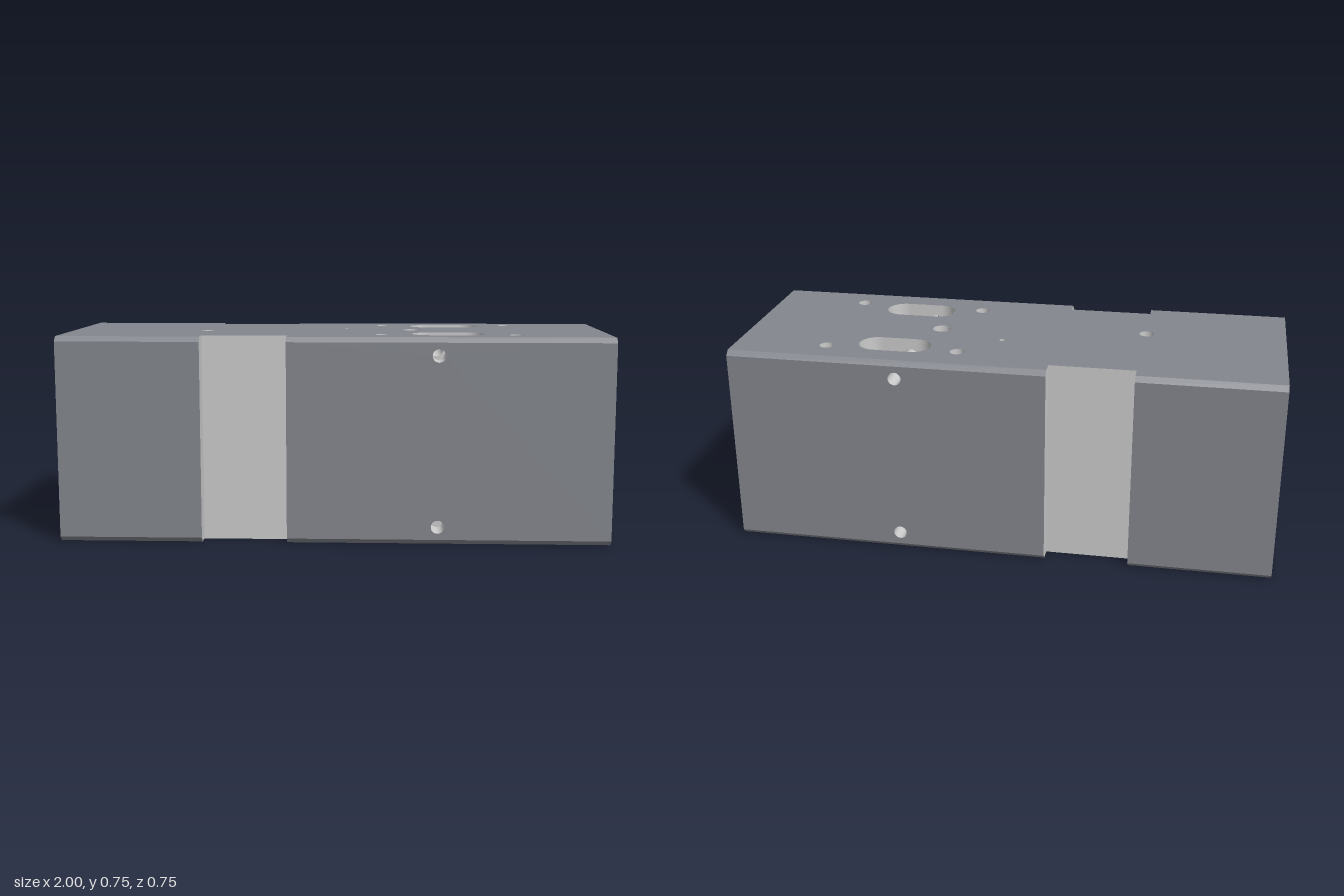
import * as THREE from 'three';

const PI = Math.PI, H = 0.375, C = 0.018, B = H - C;     // half size, chamfer
const G0 = -0.48, G1 = -0.17, GZ = 0.31;                 // side groove
const R = 0.235;                                         // main bore radius
const WIN = [0.1, 0.91];                                 // bore stretch that the windows break into

const bodyMat = new THREE.MeshStandardMaterial({ color: 0x83868d, side: THREE.DoubleSide });
const cutMat = new THREE.MeshStandardMaterial({ color: 0xcccccc, side: THREE.DoubleSide });

// vertical through openings: centre x and z, radius, half length of the straight part
const openings = [
  { x: 0.415, z: 0.2, r: 0.0675, s: 0.0675 },
  { x: 0.175, z: 0.235, r: 0.027, s: 0 },
  { x: 0.66, z: 0.25, r: 0.027, s: 0 },
];
// blind ports on top: x, z, radius, inner radius
const ports = [[0.285, 0, 0.035, 0.015], [-0.485, 0.075, 0.028, 0.012], [0.035, -0.085, 0.012, 0]];
// blind holes in the -x end: z, y, radius, depth
const endHoles = [[0.33, 0, 0.012, 0.08], [-0.33, 0, 0.012, 0.08], [0, -0.32, 0.012, 0.08],
  [0.09, 0.32, 0.012, 0.08], [-0.09, 0.32, 0.012, 0.08]];
for (const a of [-1, 1]) for (const b of [-1, 1]) endHoles.push([a * 0.26, b * 0.26, 0.07, 0.3]);
const CROSS = { x: 0.375, y: 0.31, r: 0.024 };

function hole(x, y, r, s = 0) {
  const p = new THREE.Path();
  p.absarc(x + s, y, r, -PI / 2, PI / 2, false);
  p.absarc(x - s, y, r, PI / 2, PI * 1.5, false);
  return p;
}
function plate(points, holes = []) {
  const s = new THREE.Shape(points.map(p => new THREE.Vector2(...p)));
  s.holes.push(...holes);
  return new THREE.ShapeGeometry(s, 24);
}
const rect = (x0, y0, x1, y1) => [[x0, y0], [x1, y0], [x1, y1], [x0, y1]];

// grid surface from a rule f(u, v) -> [x, y, z]
function sheet(nu, nv, f) {
  const g = new THREE.PlaneGeometry(1, 1, nu, nv), p = g.attributes.position;
  for (let i = 0; i < p.count; i++) p.setXYZ(i, ...f(p.getX(i) + 0.5, p.getY(i) + 0.5));
  g.computeVertexNormals();
  return g;
}
// height at which a vertical wall meets the bore
const boreY = z => Math.sqrt(Math.max(0, R * R - z * z));

// angle above the equator up to which the bore is cut away at x
function cutAngle(x) {
  let z = R;
  for (const o of openings) {
    const d = Math.max(0, Math.abs(x - o.x) - o.s);
    if (d < o.r) z = Math.min(z, o.z - Math.sqrt(o.r * o.r - d * d));
  }
  return Math.acos(Math.min(1, z / R));
}

export function createModel() {
  const model = new THREE.Group();
  const block = new THREE.Group();
  block.position.y = H;
  model.add(block);
  const add = (name, geo, mat = cutMat) => {
    const m = new THREE.Mesh(geo, mat);
    m.name = name;
    block.add(m);
    return m;
  };

  // top and bottom faces, notched by the grooves
  const outline = [[-1, -B], [G0, -B], [G0, -GZ], [G1, -GZ], [G1, -B], [1, -B],
    [1, B], [G1, B], [G1, GZ], [G0, GZ], [G0, B], [-1, B]];
  const through = () => [-1, 1].flatMap(k => openings.map(o => hole(o.x, k * o.z, o.r, o.s)));
  add('topFace', plate(outline, [...through(), ...ports.map(([x, z, r]) => hole(x, -z, r))])
    .rotateX(-PI / 2).translate(0, H, 0), bodyMat);
  add('bottomFace', plate(outline, through()).rotateX(PI / 2).translate(0, -H, 0), bodyMat);

  // front and back: two panels, groove and chamfers each
  for (const k of [1, -1]) {
    const turn = g => k > 0 ? g : g.rotateY(PI);
    const cross = [-1, 1].map(s => hole(k * CROSS.x, s * CROSS.y, CROSS.r));
    const span = (a, b) => rect(Math.min(k * a, k * b), -B, Math.max(k * a, k * b), B);
    add('sidePanel', turn(plate(span(-1, G0)).translate(0, 0, H)), bodyMat);
    add('sidePanel', turn(plate(span(G1, 1), cross).translate(0, 0, H)), bodyMat);
    add('grooveFloor', turn(new THREE.PlaneGeometry(G1 - G0, 2 * H).translate(k * (G0 + G1) / 2, 0, GZ)));
    for (const [x, dir] of [[G0, 1], [G1, -1]]) {
      const u = -dir * k;
      const pts = [[u * GZ, -H], [u * B, -H], [u * H, -B], [u * H, B], [u * B, H], [u * GZ, H]];
      add('grooveWall', plate(pts).rotateY(dir * PI / 2).translate(x, 0, 0));
    }
    for (const s of [1, -1]) for (const [a, b] of [[-1, G0], [G1, 1]]) {
      add('edgeChamfer', turn(new THREE.PlaneGeometry(b - a, C * Math.SQRT2).rotateX(-s * PI / 4)
        .translate(k * (a + b) / 2, s * (H - C / 2), H - C / 2)), bodyMat);
    }
  }

  // end faces
  const oct = [[-B, -H], [B, -H], [H, -B], [H, B], [B, H], [-B, H], [-H, B], [-H, -B]];
  const mouth = () => {
    const p = new THREE.Path();
    p.absarc(0, 0, 0.262, 0, 2 * PI, false);
    return p;
  };
  add('rightEnd', plate(oct, [mouth()]).rotateY(PI / 2).translate(1, 0, 0), bodyMat);
  add('leftEnd', plate(oct, [mouth(), ...endHoles.map(([z, y, r]) => hole(z, y, r))])
    .rotateY(-PI / 2).translate(-1, 0, 0), bodyMat);

  // stepped bore with an inner collar
  const profile = [[1, 0.262], [0.93, 0.262], [0.93, 0.248], [0.91, 0.248], [0.91, R], [0.1, R],
    [0.1, 0.182], [0.096, 0.178], [-0.116, 0.178], [-0.12, 0.182], [-0.12, R], [-0.91, R],
    [-0.91, 0.248], [-0.93, 0.248], [-0.93, 0.262], [-1, 0.262]];
  for (let i = 0; i < profile.length - 1; i++) {
    const [[x0, r0], [x1, r1]] = [profile[i], profile[i + 1]];
    if (x0 === WIN[1] && x1 === WIN[0]) continue;
    add('bore', new THREE.LatheGeometry([new THREE.Vector2(r0, x0), new THREE.Vector2(r1, x1)], 96)
      .rotateZ(-PI / 2));
  }
  // bore stretch cut open by the windows, upper and lower half
  for (const s of [1, -1]) {
    add('windowedBore', sheet(240, 40, (u, v) => {
      const x = WIN[0] + u * (WIN[1] - WIN[0]), a0 = cutAngle(x);
      const a = a0 + v * (PI - 2 * a0);
      return [x, s * R * Math.sin(a), R * Math.cos(a)];
    }));
  }

  // walls of the through openings, down to the bore
  for (const k of [1, -1]) for (const s of [1, -1]) {
    for (const o of openings) {
      for (const e of [1, -1]) {
        add(o.s ? 'slotEnd' : 'boltHole', sheet(24, 1, (u, v) => {
          const a = (u - 0.5) * PI, z = o.z + o.r * Math.sin(a);
          return [o.x + e * (o.s + o.r * Math.cos(a)), s * (boreY(z) + v * (H - boreY(z))), k * z];
        }));
        if (o.s) {
          const z = o.z + e * o.r, y0 = s * boreY(z), y1 = s * H;
          add('slotSide', plate(rect(o.x - o.s, Math.min(y0, y1), o.x + o.s, Math.max(y0, y1)),
            [hole(CROSS.x, s * CROSS.y, CROSS.r)]).translate(0, 0, k * z));
        }
      }
    }
    // cross holes, outside and between the slots
    const o = openings[0];
    for (const [a, b] of [[0, o.z - o.r], [o.z + o.r, H]]) {
      add('crossHole', new THREE.CylinderGeometry(CROSS.r, CROSS.r, b - a, 32, 1, true).rotateX(PI / 2)
        .translate(CROSS.x, s * CROSS.y, k * (a + b) / 2));
    }
  }

  // blind ports on top: counterbore, ledge and pilot hole
  for (const [x, z, r, ri] of ports) {
    const d = 0.05;
    const tube = (rad, y0) => new THREE.CylinderGeometry(rad, rad, d, 32, 1, true).translate(x, y0 - d / 2, z);
    const floor = (g, y) => g.rotateX(-PI / 2).translate(x, y, z);
    add('port', tube(r, H));
    if (ri) {
      add('portLedge', floor(new THREE.RingGeometry(ri, r, 32), H - d));
      add('portPilot', tube(ri, H - d));
      add('portFloor', floor(new THREE.CircleGeometry(ri, 32), H - 2 * d));
    } else add('portFloor', floor(new THREE.CircleGeometry(r, 32), H - d));
  }

  // blind bolt and pin holes in the left end
  for (const [z, y, r, d] of endHoles) {
    add('endHole', new THREE.CylinderGeometry(r, r, d, 40, 1, true).rotateZ(PI / 2).translate(-1 + d / 2, y, z));
    add('endHoleFloor', new THREE.CircleGeometry(r, 40).rotateY(-PI / 2).translate(-1 + d, y, z));
  }
  return model;
}
